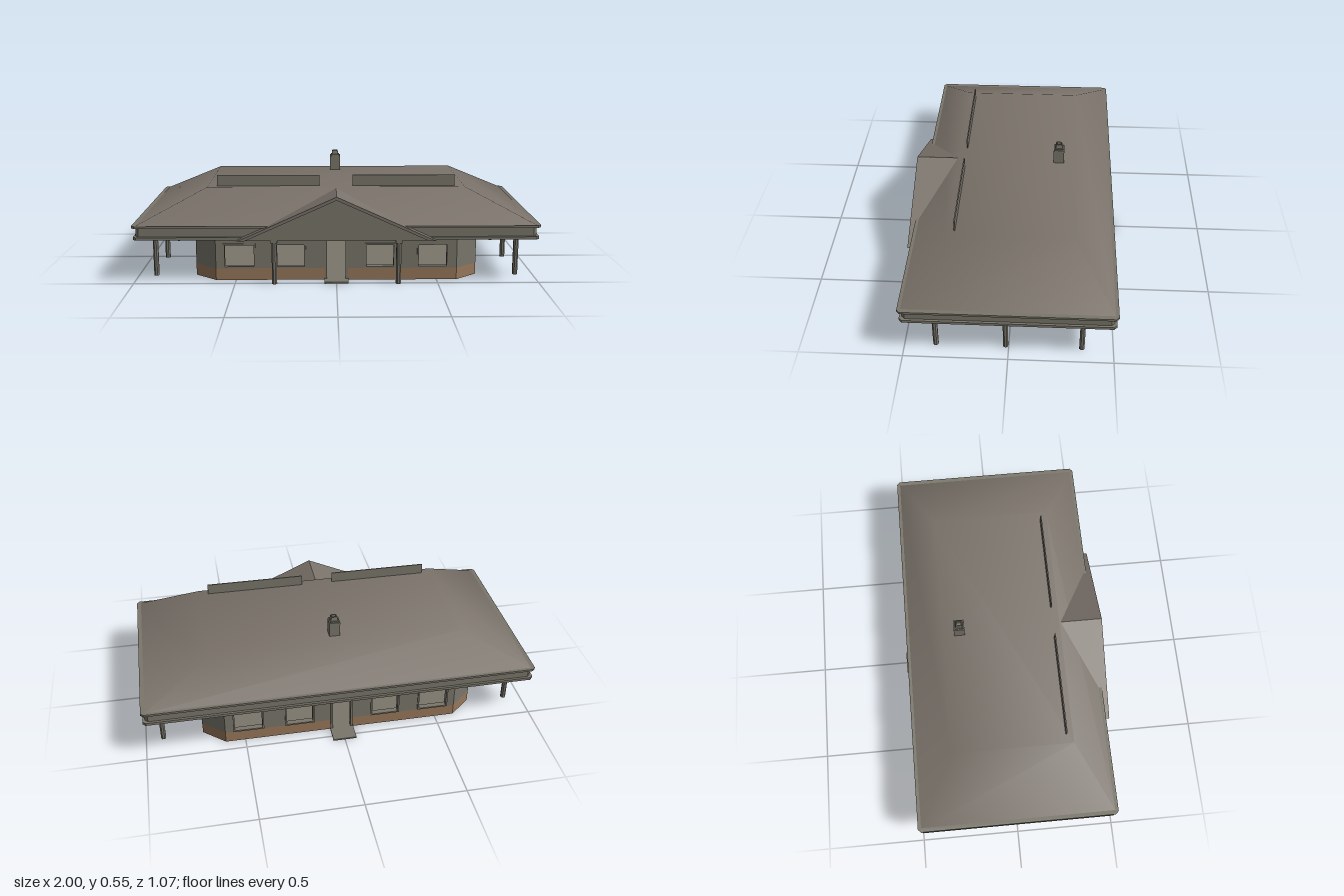
import * as THREE from 'three';

export function createModel() {
  const house = new THREE.Group();
  house.name = 'house';
  const mat = (name, color) => {
    const m = new THREE.MeshStandardMaterial({ color });
    m.name = name;
    return m;
  };
  const plaster = mat('plaster', 0x7a766b);
  const roofing = mat('roofing', 0x7a726a);
  const brick = mat('brick', 0x96775a);

  const add = (name, geo, material, parent = house) => {
    const m = new THREE.Mesh(geo, material);
    m.name = name;
    parent.add(m);
    return m;
  };
  const box = (name, x0, x1, y0, y1, z0, z1, material, parent) => {
    const m = add(name, new THREE.BoxGeometry(x1 - x0, y1 - y0, z1 - z0), material, parent);
    m.position.set((x0 + x1) / 2, (y0 + y1) / 2, (z0 + z1) / 2);
    return m;
  };
  const poly = (pts) => new THREE.Shape(pts.map(([x, y]) => new THREE.Vector2(x, y)));
  const rectPath = (x0, x1, y0, y1) =>
    new THREE.Path([[x0, y0], [x0, y1], [x1, y1], [x1, y0]].map((p) => new THREE.Vector2(...p)));
  const extrude = (shape, depth) => new THREE.ExtrudeGeometry(shape, { depth, bevelEnabled: false });

  // Horizontal slab with cut corners
  const slab = (name, hx, hz, cx, cz, y0, y1, material) => {
    const s = poly([[hx - cx, -hz], [hx, cz - hz], [hx, hz - cz], [hx - cx, hz],
      [cx - hx, hz], [-hx, hz - cz], [-hx, cz - hz], [cx - hx, -hz]]);
    const m = add(name, extrude(s, y1 - y0).rotateX(-Math.PI / 2), material);
    m.position.y = y0;
  };

  // Wall from a to b (left to right seen from outside), with windows and an optional door
  const BASE = 0.06, TOP = 0.225, T = 0.02, SILL = 0.07, HEAD = 0.18;
  const DOOR = 0.048, DOOR_TOP = 0.203;
  const frame = (name, x0, x1, y0, y1, w, parent) => {
    const s = poly([[x0 - w, y0 - w], [x1 + w, y0 - w], [x1 + w, y1 + w], [x0 - w, y1 + w]]);
    s.holes.push(rectPath(x0, x1, y0, y1));
    add(name, extrude(s, T + 0.008), plaster, parent).position.z = -T - 0.002;
  };
  const wall = (name, [ax, az], [bx, bz], windows = [], door = false) => {
    const g = new THREE.Group();
    g.name = name;
    const dx = bx - ax, dz = bz - az, h = Math.hypot(dx, dz) / 2;
    g.position.set((ax + bx) / 2, 0, (az + bz) / 2);
    g.rotation.y = Math.atan2(-dz, dx);
    const notch = door ? [[-DOOR, BASE], [-DOOR, DOOR_TOP], [DOOR, DOOR_TOP], [DOOR, BASE]] : [];
    const s = poly([[-h, BASE], ...notch, [h, BASE], [h, TOP], [-h, TOP]]);
    for (const [x0, x1] of windows) {
      s.holes.push(rectPath(x0, x1, SILL, HEAD));
      frame('windowFrame', x0, x1, SILL, HEAD, 0.008, g);
    }
    add('upperWall', extrude(s, T), plaster, g).position.z = -T;
    const spans = door ? [[-h, -DOOR], [DOOR, h]] : [[-h, h]];
    for (const [x0, x1] of spans) box('brickBase', x0, x1, 0, BASE, -T, 0, brick, g);
    if (door) {
      for (const k of [-1, 1]) {
        const x = k * (DOOR + 0.004);
        box('doorJamb', x - 0.006, x + 0.006, 0, DOOR_TOP + 0.012, -T, 0.006, plaster, g);
      }
      box('doorLintel', -DOOR, DOOR, DOOR_TOP, DOOR_TOP + 0.012, -T, 0.006, plaster, g);
    }
    house.add(g);
  };

  const HX = 0.71, HZ = 0.44, CX = 0.11, CZ = 0.095;
  const ix = HX - CX, iz = HZ - CZ;
  const row = [[-0.555, -0.41], [-0.295, -0.16], [0.15, 0.285], [0.41, 0.55]];
  const mirrored = row.map(([a, b]) => [-b, -a]);
  wall('frontWall', [-ix, HZ], [ix, HZ], row, true);
  wall('backWall', [ix, -HZ], [-ix, -HZ], mirrored, true);
  wall('leftWall', [HX, iz], [HX, -iz], [[-0.247, -0.103], [0.055, 0.147]]);
  wall('rightWall', [-HX, -iz], [-HX, iz], [[-0.247, -0.103], [0.103, 0.247]]);
  wall('frontLeftCorner', [ix, HZ], [HX, iz]);
  wall('backLeftCorner', [HX, -iz], [ix, -HZ]);
  wall('backRightCorner', [-ix, -HZ], [-HX, -iz]);
  wall('frontRightCorner', [-HX, iz], [-ix, HZ]);
  slab('floor', HX - 0.002, HZ - 0.002, CX, CZ, 0.001, 0.008, plaster);
  box('frontStep', -0.06, 0.06, 0, 0.008, 0.43, 0.51, plaster);
  box('backStep', -0.06, 0.06, 0, 0.008, -0.535, -0.43, plaster);

  // Eaves: soffit, recessed fascia and gutter lip
  slab('soffit', 0.995, 0.502, 0.015, 0.015, 0.22, 0.234, plaster);
  slab('fascia', 0.983, 0.49, 0.015, 0.015, 0.234, 0.28, plaster);
  slab('gutter', 1, 0.508, 0.015, 0.015, 0.28, 0.291, plaster);

  // Hipped roof with a flat top and soft shading
  const ring = (x, y, z) => [-x, y, z, x, y, z, x, y, -z, -x, y, -z];
  const roofGeo = new THREE.BufferGeometry();
  roofGeo.setAttribute('position', new THREE.Float32BufferAttribute(
    [...ring(0.985, 0.288, 0.495), ...ring(0.65, 0.447, 0.31)], 3));
  const faces = [4, 5, 6, 4, 6, 7];
  for (let i = 0; i < 4; i++) {
    const j = (i + 1) % 4;
    faces.push(i, j, j + 4, i, j + 4, i + 4);
  }
  roofGeo.setIndex(faces);
  roofGeo.computeVertexNormals();
  add('roof', roofGeo, roofing);

  // Front gable: sloped covering over a recessed pediment
  const cover = poly([[-0.485, 0.222], [-0.45, 0.222], [0, 0.424], [0.45, 0.222], [0.485, 0.222], [0, 0.441]]);
  add('gableRoof', extrude(cover, 0.232), roofing).position.z = 0.303;
  const pediment = poly([[-0.452, 0.222], [0.452, 0.222], [0, 0.426]]);
  add('pediment', extrude(pediment, 0.215), plaster).position.z = 0.31;

  // Columns along both sides and under the gable
  const column = (x, z) => {
    const g = new THREE.Group();
    g.name = 'column';
    const shaft = add('shaft', new THREE.CylinderGeometry(0.0135, 0.0135, 0.21, 8).rotateY(Math.PI / 8), plaster, g);
    shaft.position.y = 0.105;
    box('capital', -0.016, 0.016, 0.208, 0.223, -0.016, 0.016, plaster, g);
    shaft.geometry = shaft.geometry.toNonIndexed();
    shaft.geometry.computeVertexNormals();
    g.position.set(x, 0, z);
    house.add(g);
  };
  for (const k of [-1, 1]) {
    for (const z of [0.35, 0.015, -0.35]) column(k * 0.912, z);
    column(k * 0.305, 0.505);
    // Upright roof panels
    const x = k * 0.343;
    box('roofPanel', x - 0.259, x + 0.259, 0.44, 0.502, 0.272, 0.278, plaster);
  }

  // Chimney with a tapered open pot
  box('chimneyStack', -0.028, 0.028, 0.43, 0.525, -0.245, -0.19, plaster);
  box('chimneyLedge', -0.022, 0.022, 0.525, 0.532, -0.24, -0.195, plaster);
  const potProfile = [[0.0255, 0], [0.0205, 0.022], [0.0145, 0.022], [0.0145, 0.001]]
    .map((p) => new THREE.Vector2(...p));
  const potGeo = new THREE.LatheGeometry(potProfile, 4).toNonIndexed().rotateY(Math.PI / 4);
  potGeo.computeVertexNormals();
  add('chimneyPot', potGeo, plaster).position.set(0, 0.531, -0.2175);

  return house;
}
